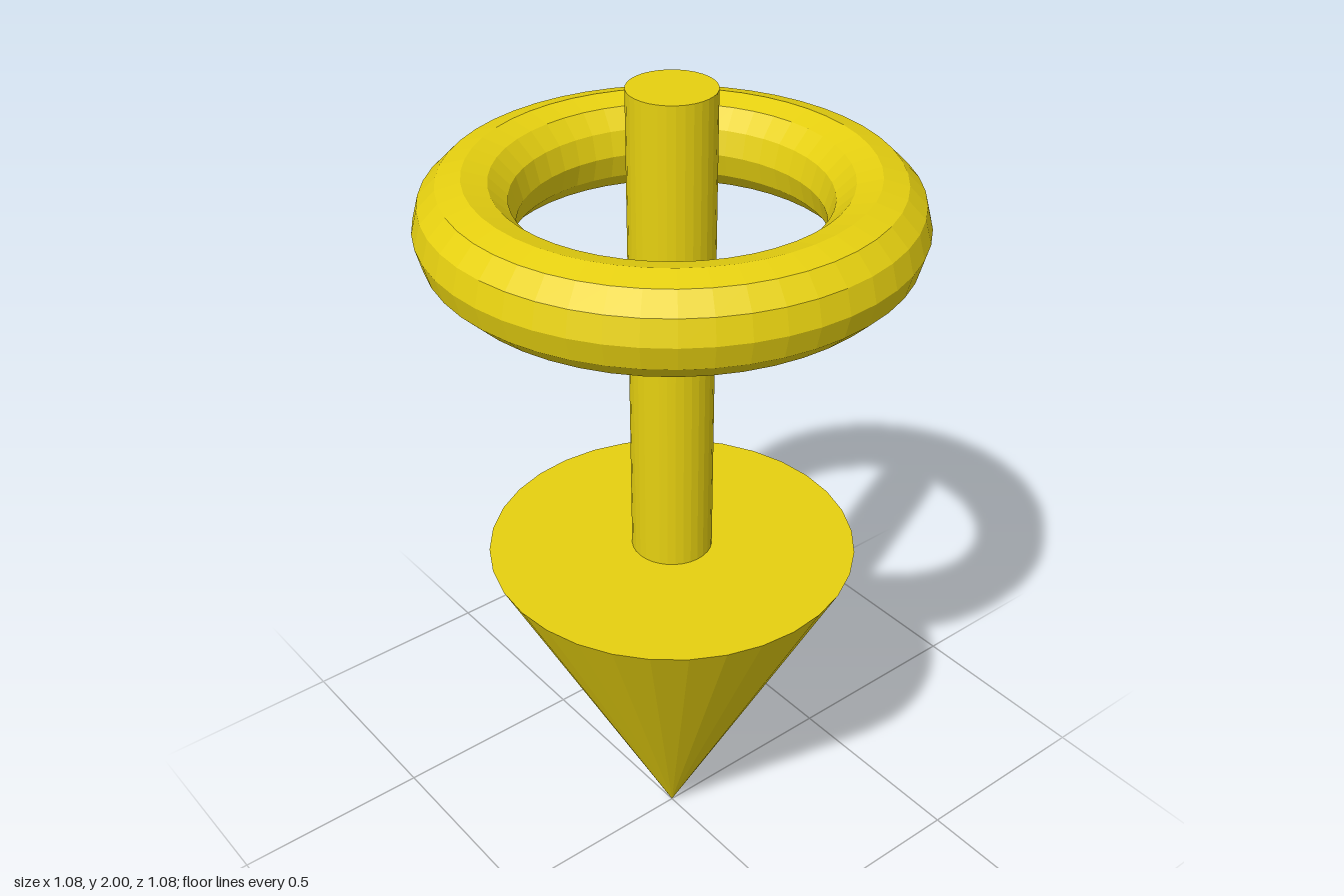
import * as THREE from 'three';

export function createModel() {
  const model = new THREE.Group();
  const material = new THREE.MeshStandardMaterial({ color: 0xe6d010, flatShading: true });

  const add = (name, geometry, y) => {
    const mesh = new THREE.Mesh(geometry, material);
    mesh.name = name;
    mesh.position.y = y;
    model.add(mesh);
  };

  const headHeight = 0.87;
  const shaftHeight = 2 - headHeight;

  // Downward-pointing arrow head, tip on the ground
  add('arrowHead', new THREE.ConeGeometry(0.433, headHeight, 32).rotateX(Math.PI), headHeight / 2);

  // Shaft rising from the flat top of the head
  add('shaft', new THREE.CylinderGeometry(0.095, 0.095, shaftHeight, 32), headHeight + shaftHeight / 2);

  // Ring floating around the upper shaft
  add('ring', new THREE.TorusGeometry(0.433, 0.108, 12, 48).rotateX(Math.PI / 2), 1.717);

  return model;
}
